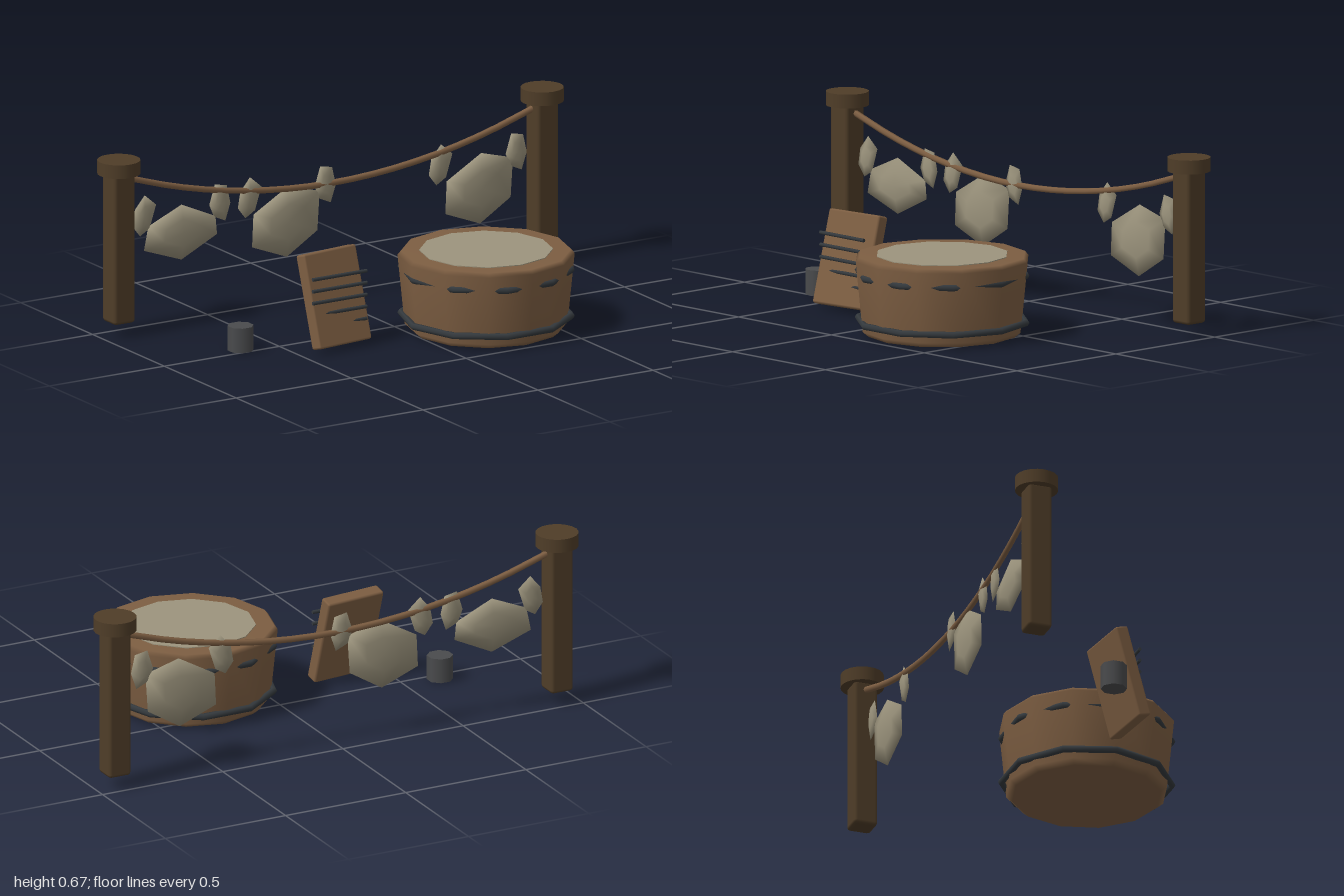
import * as THREE from 'three';
import { RoundedBoxGeometry } from 'three/addons/geometries/RoundedBoxGeometry.js';

function material(name, color) {
  const m = new THREE.MeshStandardMaterial({ color });
  m.name = name;
  return m;
}

// Thin lens: an outline in x and y, swelling to a soft crown on both faces
function clothGeometry(outline, thickness) {
  const n = outline.length;
  const cx = outline.reduce((s, p) => s + p[0], 0) / n;
  const cy = outline.reduce((s, p) => s + p[1], 0) / n;
  const pos = [], index = [];
  const ring = (scale, z) => outline.forEach(([x, y]) =>
    pos.push(cx + (x - cx) * scale, cy + (y - cy) * scale, z));
  ring(0.5, thickness * 0.75);
  ring(1, 0);
  ring(0.5, -thickness * 0.75);
  pos.push(cx, cy, thickness, cx, cy, -thickness);
  for (let i = 0; i < n; i++) {
    const j = (i + 1) % n;
    // outlines run clockwise seen from the front
    index.push(3 * n, j, i, 3 * n + 1, 2 * n + i, 2 * n + j);
    for (let r = 0; r < 2; r++) {
      const a = r * n + i, b = r * n + j;
      index.push(a, b, b + n, a, b + n, a + n);
    }
  }
  const g = new THREE.BufferGeometry();
  g.setAttribute('position', new THREE.Float32BufferAttribute(pos, 3));
  g.setIndex(index);
  g.computeVertexNormals();
  return g;
}

export function createModel() {
  const model = new THREE.Group();
  model.name = 'washingPlace';
  const wood = material('wood', 0x7d5e42);
  const darkWood = material('darkWood', 0x4f3d28);
  const linen = material('linen', 0x9c947d);
  const iron = material('iron', 0x4a4b4d);
  const band = material('bandMetal', 0x34393d);

  const add = (name, geometry, mat, x = 0, y = 0, z = 0, parent = model) => {
    const mesh = new THREE.Mesh(geometry, mat);
    mesh.name = name;
    mesh.position.set(x, y, z);
    parent.add(mesh);
    return mesh;
  };

  // Line posts with round caps
  const lineZ = -0.445;
  for (const side of [-1, 1]) {
    const label = side < 0 ? 'right' : 'left';
    add(label + 'Post', new RoundedBoxGeometry(0.092, 0.58, 0.092, 1, 0.013), darkWood, side * 0.92, 0.34, lineZ);
    add(label + 'PostCap', new THREE.CylinderGeometry(0.08, 0.08, 0.052, 20), darkWood, side * 0.92, 0.646, lineZ);
  }

  // Sagging clothes line
  const sag = [];
  for (let i = 0; i <= 8; i++) {
    const x = -0.9 + i * 0.225;
    sag.push(new THREE.Vector3(x, 0.442 + 0.16 * (x / 0.9) ** 2, lineZ));
  }
  add('clothesLine', new THREE.TubeGeometry(new THREE.CatmullRomCurve3(sag), 20, 0.012, 6), wood);

  // Hanging cloths: a broad body and two small gathered corners
  const wide = [[-0.144, 0.066], [0, 0.128], [0.148, 0.062], [0.155, -0.008], [0, -0.083], [-0.163, -0.025]];
  const deep = [[-0.14, 0.042], [0.01, 0.128], [0.148, 0.09], [0.138, -0.06], [0.005, -0.142], [-0.146, -0.083]];
  const cornerA = [[0, 0.075], [0.05, 0.032], [0.022, -0.055], [-0.02, -0.08], [-0.053, -0.037], [-0.042, 0.025]];
  const cornerB = [[-0.02, 0.07], [0.032, 0.06], [0.048, -0.01], [0.026, -0.075], [-0.024, -0.053], [-0.044, -0.005]];
  const cloths = [
    { x: -0.648, body: wide, a: -0.16, b: 0.165 },
    { x: -0.195, body: deep, a: -0.155, b: 0.17 },
    { x: 0.645, body: deep, a: -0.165, b: 0.16 },
  ];
  cloths.forEach(({ x, body, a, b }, i) => {
    const cloth = new THREE.Group();
    cloth.name = 'hangingCloth' + (i + 1);
    cloth.position.set(x, 0.33, lineZ);
    add('clothBody', clothGeometry(body, 0.019), linen, 0, 0, 0, cloth);
    add('clothCornerRight', clothGeometry(cornerA, 0.012), linen, a, 0.113, 0, cloth);
    add('clothCornerLeft', clothGeometry(cornerB, 0.012), linen, b, 0.113, 0, cloth);
    model.add(cloth);
  });

  // Twelve-sided wash tub with bevelled rim and foot
  const tub = new THREE.Group();
  tub.name = 'washTub';
  tub.position.set(0.275, 0, 0.198);
  model.add(tub);
  const profile = [[0, 0.003], [0.278, 0.003], [0.301, 0.022], [0.327, 0.286], [0.314, 0.301], [0, 0.301]]
    .map(([r, y]) => new THREE.Vector2(r, y));
  add('tubBody', new THREE.LatheGeometry(profile, 12), wood, 0, 0, 0, tub);
  add('tubWater', new THREE.CylinderGeometry(0.247, 0.247, 0.008, 12), linen, 0, 0.3, 0, tub);

  // Coarser hoops, so the upper one shows only at its corners
  for (const [name, y] of [['lowerHoop', 0.055], ['upperHoop', 0.232]]) {
    const hoop = new THREE.TorusGeometry(0.315, 0.013, 6, 10);
    hoop.rotateX(Math.PI / 2);
    add(name, hoop, band, 0, y, 0, tub);
  }

  // Leaning washboard
  const board = add('washboard', new RoundedBoxGeometry(0.245, 0.355, 0.052, 1, 0.008), wood, -0.325, 0.187, 0.1);
  board.rotation.set(-0.28, 0.11, 0, 'YXZ');

  // Level ribs that sink into the board towards its foot
  for (let i = 0; i < 5; i++) {
    const rib = new THREE.CylinderGeometry(0.007, 0.007, 0.235, 6);
    rib.rotateZ(Math.PI / 2);
    add('washboardRib' + (i + 1), rib, band, -0.325, 0.28 - i * 0.0455, 0.14);
  }

  // Small iron pot
  const pot = new THREE.CylinderGeometry(0.049, 0.049, 0.094, 8);
  pot.rotateY(Math.PI / 8);
  add('smallPot', pot, iron, -0.645, 0.047, -0.038);

  return model;
}
